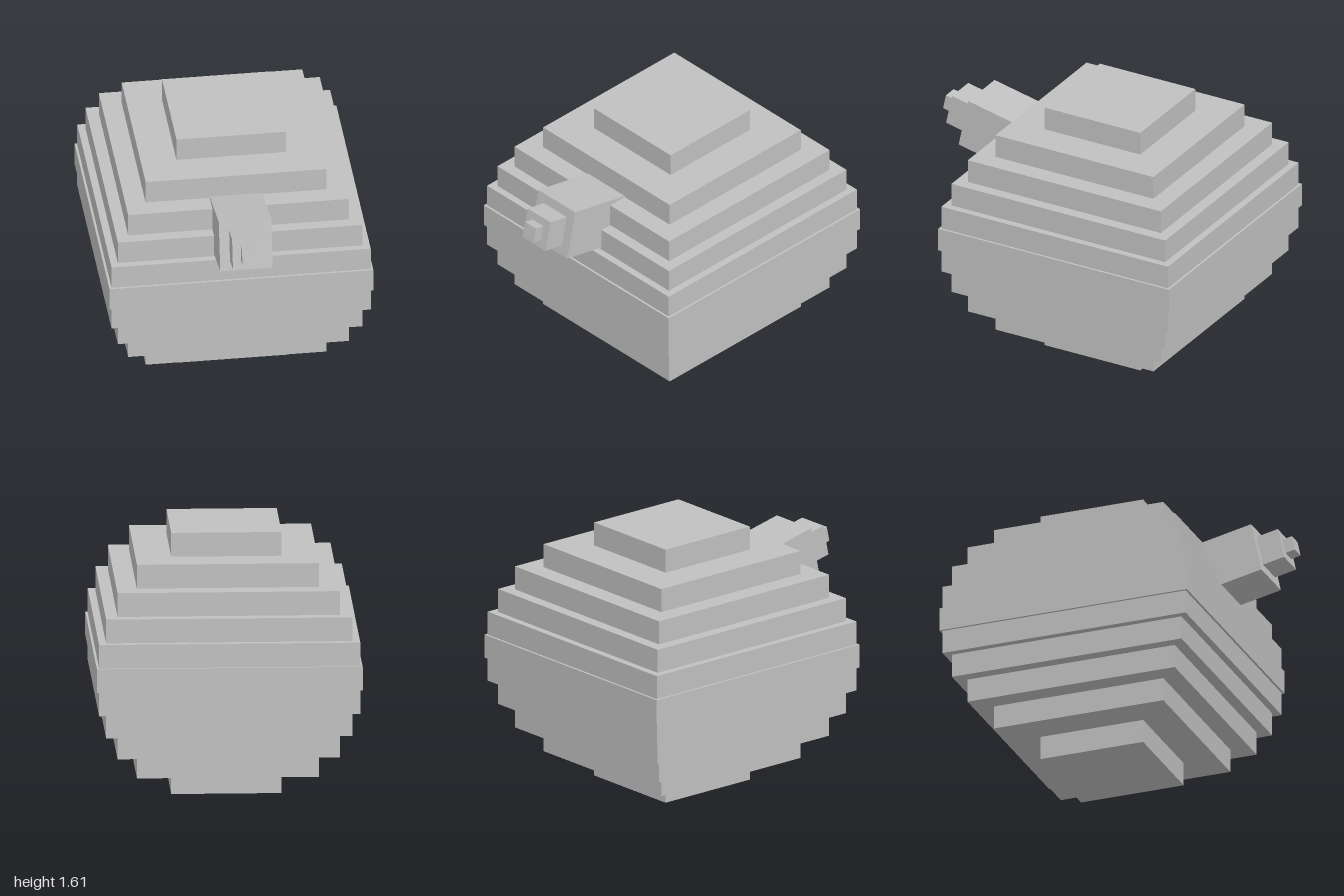
import * as THREE from 'three';

const grey = new THREE.MeshStandardMaterial({ color: 0xc0c0c0 });
grey.name = 'grey';

function box(name, w, h, d, x, y, z) {
  const mesh = new THREE.Mesh(new THREE.BoxGeometry(w, h, d), grey);
  mesh.name = name;
  mesh.position.set(x, y, z);
  return mesh;
}

export function createModel() {
  const model = new THREE.Group();
  model.name = 'steppedBall';

  // Body: square slabs stacked into a stepped ball, mirrored about the middle
  const body = new THREE.Group();
  body.name = 'body';
  const halfWidths = [0.332, 0.548, 0.67, 0.742, 0.786, 0.8];
  const count = 11;
  const step = 1.608 / count;
  for (let i = 0; i < count; i++) {
    const w = 2 * halfWidths[Math.min(i, count - 1 - i)];
    body.add(box(`bodyLayer${i + 1}`, w, step, w, 0, (i + 0.5) * step, -0.2));
  }
  model.add(body);

  // Spout: three shrinking blocks along an axis tilted up 12 degrees;
  // its origin is the front face of the largest block
  const spout = new THREE.Group();
  spout.name = 'spout';
  spout.position.set(0, 1.256, 0.795);
  spout.rotation.x = -THREE.MathUtils.degToRad(12);
  const blocks = [
    ['spoutBase', 0.318, -0.55, 0],
    ['spoutMiddle', 0.196, -0.02, 0.138],
    ['spoutTip', 0.094, 0.12, 0.2],
  ];
  for (const [name, size, back, front] of blocks) {
    spout.add(box(name, size, size, front - back, 0, 0, (front + back) / 2));
  }
  model.add(spout);

  return model;
}
